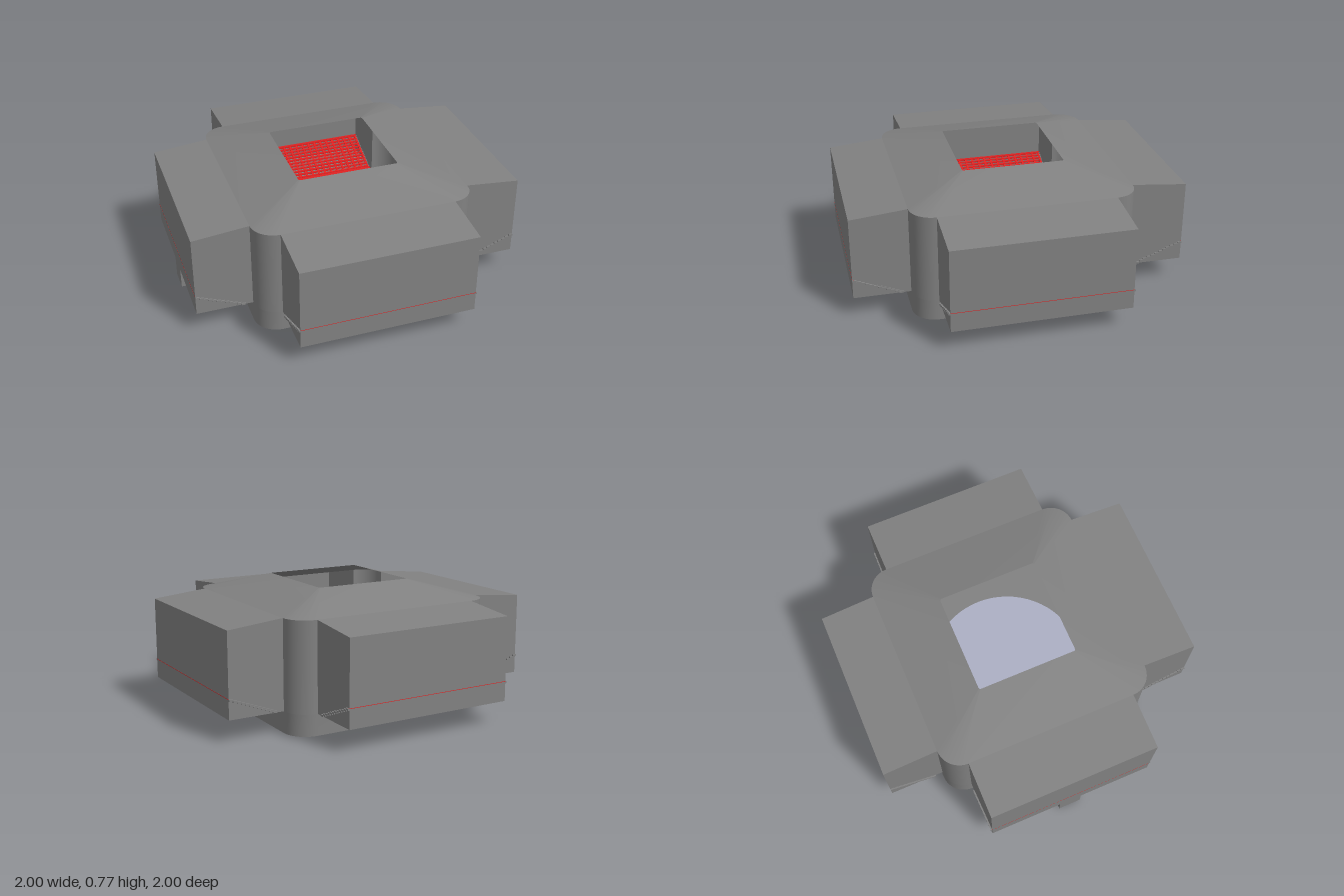
import * as THREE from 'three';
import { mergeGeometries, toCreasedNormals } from 'three/addons/utils/BufferGeometryUtils.js';

const HALF = 0.664, WING = 0.525, RADIUS = HALF - WING; // body half width, wing half width, corner radius
const LOW = 0.137, EAVE = 0.669, BASE = 0.009;

const shell = new THREE.MeshStandardMaterial({ color: 0x818181, side: THREE.DoubleSide });
const grey = new THREE.MeshStandardMaterial({ color: 0x818181 });
const red = new THREE.MeshStandardMaterial({ color: 0xe02222 });
const blue = new THREE.MeshStandardMaterial({ color: 0xacafc4 });

function mesh(name, geometry, material) {
  const m = new THREE.Mesh(geometry, material);
  m.name = name;
  return m;
}

// Flat faces from lists of four corners, counter-clockwise from outside
function quads(list) {
  const g = new THREE.BufferGeometry();
  const pos = list.flatMap(([a, b, c, d]) => [...a, ...b, ...c, ...a, ...c, ...d]);
  g.setAttribute('position', new THREE.Float32BufferAttribute(pos, 3));
  g.computeVertexNormals();
  return g;
}

// One rounded corner in the x, z plane, starting at the given angle
function corner(half, radius, y, start, steps = 10) {
  const c = half - radius, a0 = start + Math.PI / 4;
  const cx = Math.sign(Math.cos(a0)) * c, cz = Math.sign(Math.sin(a0)) * c;
  return Array.from({ length: steps + 1 }, (_, i) => {
    const a = start + (i / steps) * Math.PI / 2;
    return [cx + radius * Math.cos(a), y, cz + radius * Math.sin(a)];
  });
}

function roundedLoop(half, radius, y) {
  return [0, 1, 2, 3].flatMap(k => corner(half, radius, y, k * Math.PI / 2));
}

// Surface between a lower and an upper row of points
function loft(lower, upper, closed) {
  const n = lower.length, faces = [];
  for (let i = 0; i < (closed ? n : n - 1); i++) {
    const j = (i + 1) % n;
    faces.push([lower[j], lower[i], upper[i], upper[j]]);
  }
  return toCreasedNormals(quads(faces), 0.5);
}

function box(w, h, d, x, y, z, tilt = 0) {
  return new THREE.BoxGeometry(w, h, d).rotateX(tilt).translate(x, y, z);
}

// Side wing with a drain slot and a sloping grille, facing +z
function makeWing() {
  const wing = new THREE.Group();
  const W = WING, Z = 1, top = 0.637, slot = 0.688, foot = 0.71;
  wing.add(mesh('wingShell', quads([
    [[-W, LOW, Z], [W, LOW, Z], [W, top, Z], [-W, top, Z]],
    [[W, LOW, Z], [W, LOW, HALF], [W, EAVE, HALF], [W, top, Z]],
    [[-W, LOW, HALF], [-W, LOW, Z], [-W, top, Z], [-W, EAVE, HALF]],
    [[-W, top, Z], [W, top, Z], [W, EAVE, HALF], [-W, EAVE, HALF]],
    [[-W, LOW, slot], [W, LOW, slot], [W, LOW, Z], [-W, LOW, Z]],
  ]), shell));

  // Stepped side rails and red slats
  const steps = 12, run = Z - foot, rise = 0.115, rails = [], bars = [];
  for (let i = 0; i < steps; i++) {
    const t = (i + 0.5) / steps;
    const y = LOW + 0.002 + t * rise, z = foot + t * run;
    for (const s of [-1, 1]) rails.push(box(0.014, 0.011, run / steps, s * 0.527, y, z));
    bars.push(box(2 * W - 0.006, 0.009, 0.015, 0, y, z));
  }
  // Thin bars running down the slope
  const count = 24, tilt = -Math.atan2(rise, run);
  for (let i = 0; i < count; i++) {
    const x = (i / (count - 1) - 0.5) * (2 * W - 0.02);
    bars.push(box(0.014, 0.006, Math.hypot(run, rise) - 0.01, x, LOW + 0.003 + rise / 2, foot + run / 2, tilt));
  }
  // Lower edge bar above the drain slot, and the top edge flush with the outer face
  bars.push(box(2 * W - 0.006, 0.008, 0.04, 0, LOW + 0.008, foot - 0.024));
  bars.push(box(2 * W, 0.003, 0.012, 0, LOW + rise + 0.002, Z - 0.0055));
  wing.add(mesh('grilleRails', mergeGeometries(rails), grey));
  wing.add(mesh('grille', mergeGeometries(bars), red));
  return wing;
}

export function createModel() {
  const model = new THREE.Group();

  // Roof sloping up to the square opening
  model.add(mesh('roof', loft(roundedLoop(HALF, RADIUS, EAVE), roundedLoop(0.307, 0.012, 0.77), true), shell));

  // Lower wall, then four corner columns leaving the wings open inside
  model.add(mesh('lowerWall', loft(roundedLoop(HALF, RADIUS, BASE), roundedLoop(HALF, RADIUS, LOW), true), shell));
  for (let k = 0; k < 4; k++) {
    const a = k * Math.PI / 2;
    model.add(mesh('cornerColumn' + (k + 1),
      loft(corner(HALF, RADIUS, LOW, a), corner(HALF, RADIUS, EAVE, a), false), shell));
    const wing = makeWing();
    wing.name = 'wing' + (k + 1);
    wing.rotation.y = a;
    model.add(wing);
  }

  // Base plate with a round hole, filled by the grey-rimmed disc
  const plate = new THREE.Shape(roundedLoop(HALF, RADIUS, 0).map(p => new THREE.Vector2(p[0], p[2])));
  plate.holes.push(new THREE.Path().absarc(0, 0, 0.498, 0, Math.PI * 2, true));
  model.add(mesh('basePlate',
    new THREE.ShapeGeometry(plate, 32).rotateX(Math.PI / 2).translate(0, BASE, 0), shell));
  model.add(mesh('baseDisc',
    new THREE.CylinderGeometry(0.5, 0.5, 0.011, 64).translate(0, 0.0055, 0), [grey, blue, blue]));

  // Outlet block under one wing
  model.add(mesh('outlet', box(1 - HALF, LOW - BASE, 0.14, -(1 + HALF) / 2, (LOW + BASE) / 2, 0), grey));
  return model;
}
